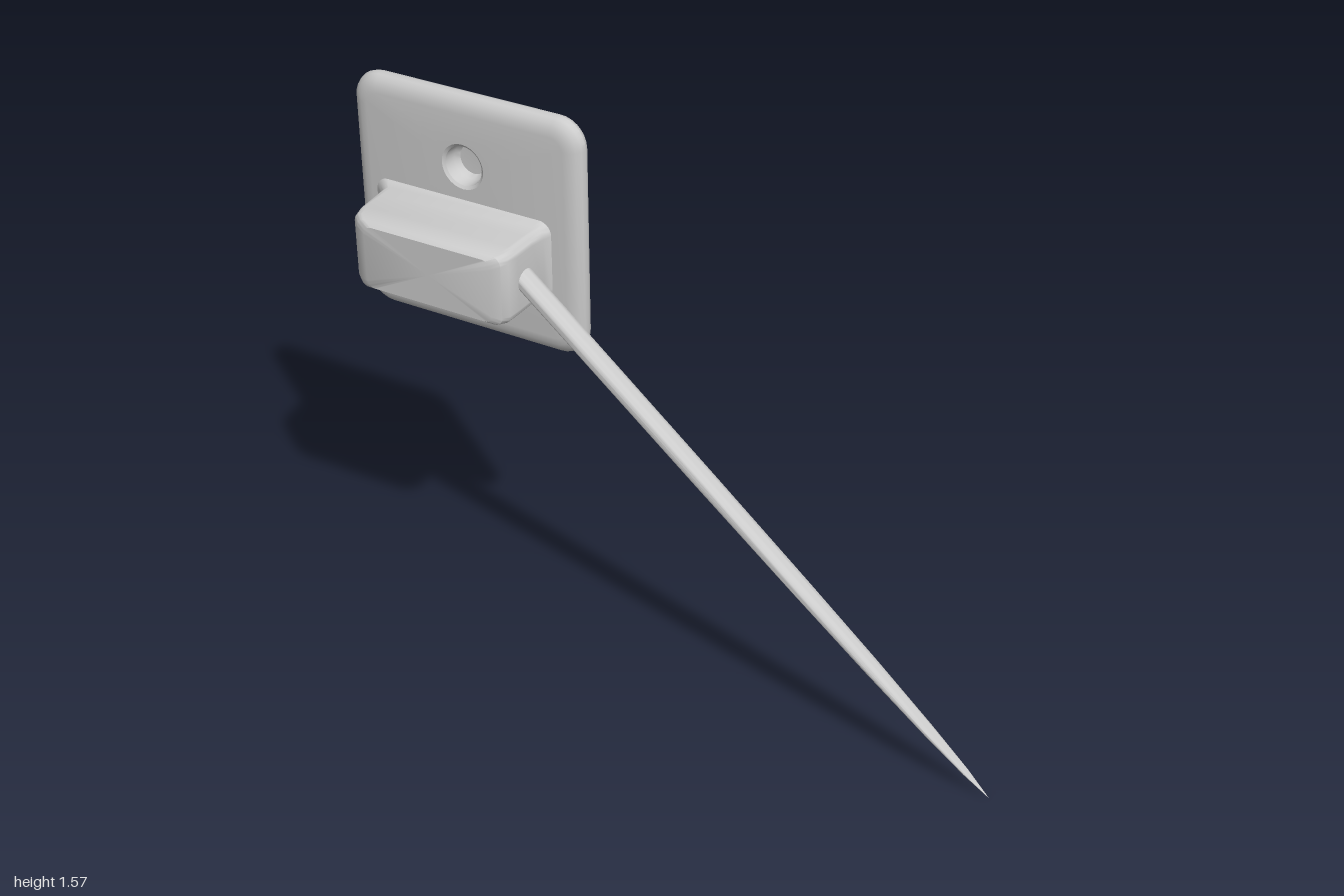
import * as THREE from 'three';
import { toCreasedNormals } from 'three/addons/utils/BufferGeometryUtils.js';

const STEPS = 8; // points per rounded corner

// Rounded-rectangle ring; with rx = hx and ry = hy it becomes an ellipse
function ring([cx, cy, hx, hy, rx, ry, z]) {
  const points = [];
  for (let c = 0; c < 4; c++) {
    const sx = c === 0 || c === 3 ? 1 : -1;
    const sy = c < 2 ? 1 : -1;
    for (let k = 0; k < STEPS; k++) {
      const a = (c + k / (STEPS - 1)) * Math.PI / 2;
      points.push(cx + sx * (hx - rx) + rx * Math.cos(a), cy + sy * (hy - ry) + ry * Math.sin(a), z);
    }
  }
  return points;
}

// Skin over successive rings
function loft(rows, crease) {
  const n = STEPS * 4;
  const index = [];
  for (let i = 0; i < rows.length - 1; i++) {
    for (let j = 0; j < n; j++) {
      const a = i * n + j, b = i * n + (j + 1) % n;
      index.push(a, b, b + n, a, b + n, a + n);
    }
  }
  const geometry = new THREE.BufferGeometry();
  geometry.setAttribute('position', new THREE.Float32BufferAttribute(rows.flatMap(ring), 3));
  geometry.setIndex(index);
  return toCreasedNormals(geometry, crease);
}

export function createModel() {
  const group = new THREE.Group();
  const material = new THREE.MeshStandardMaterial({ color: 0xcccccc });
  const add = (name, geometry) => {
    const mesh = new THREE.Mesh(geometry, material);
    mesh.name = name;
    group.add(mesh);
    return mesh;
  };

  // Wall plate: flat back, rounded rim, front face with a blind screw hole
  const px = -0.645, py = 1.225, pz = -0.11;
  const plate = [[px, py, 0, 0, 0, 0, pz - 0.035]];
  for (let i = 0; i <= 8; i++) {
    const a = -Math.PI / 2 + i / 8 * Math.PI;
    const inset = 0.05 * (1 - Math.cos(a));
    const r = 0.08 - inset * 0.8;
    plate.push([px, py, 0.355 - inset, 0.345 - inset, r, r, pz + 0.035 * Math.sin(a)]);
  }
  for (const [r, z] of [[0.065, -0.075], [0.057, -0.081], [0.052, -0.115], [0.042, -0.128], [0, -0.13]]) {
    plate.push([-0.65, 1.37, r, r, r, r, z]);
  }
  add('wallPlate', loft(plate, 0.6));

  // Holder block: flares into the plate, softened front edge
  const block = [
    // left, right, bottom, top, corner radius, z
    [-0.95, -0.375, 1.035, 1.28, 0.04, -0.085],
    [-0.925, -0.382, 1.047, 1.271, 0.035, -0.07],
    [-0.9, -0.388, 1.058, 1.266, 0.03, -0.05],
    [-0.893, -0.39, 1.06, 1.265, 0.025, 0],
    [-0.886, -0.39, 1.06, 1.265, 0.025, 0.07],
    [-0.873, -0.392, 1.06, 1.265, 0.025, 0.11],
    [-0.85, -0.402, 1.063, 1.262, 0.025, 0.132],
    [-0.82, -0.425, 1.072, 1.253, 0.025, 0.145],
    [-0.62, -0.62, 1.16, 1.16, 0, 0.145],
  ].map(([l, r, b, t, c, z]) => [(l + r) / 2, (b + t) / 2, (r - l) / 2, (t - b) / 2, c, c, z]);
  add('holderBlock', loft(block, 0.6));

  // Slanting spike: oval section tapering to a point
  const start = new THREE.Vector2(-0.42, 1.183), tip = new THREE.Vector2(1, 0);
  const length = start.distanceTo(tip);
  const spike = [
    // fraction of length, half depth, half height
    [0, 0, 0], [0, 0.035, 0.024], [0.4, 0.034, 0.022], [0.6, 0.032, 0.019], [0.75, 0.028, 0.016],
    [0.87, 0.021, 0.011], [0.95, 0.012, 0.006], [1, 0, 0],
  ].map(([t, a, b]) => [0, 0, a, b, a, b, t * length]);
  const rod = add('spike', loft(spike, 0.8).rotateY(Math.PI / 2));
  rod.position.set(start.x, start.y, 0.035);
  rod.rotation.z = Math.atan2(tip.y - start.y, tip.x - start.x);

  return group;
}
